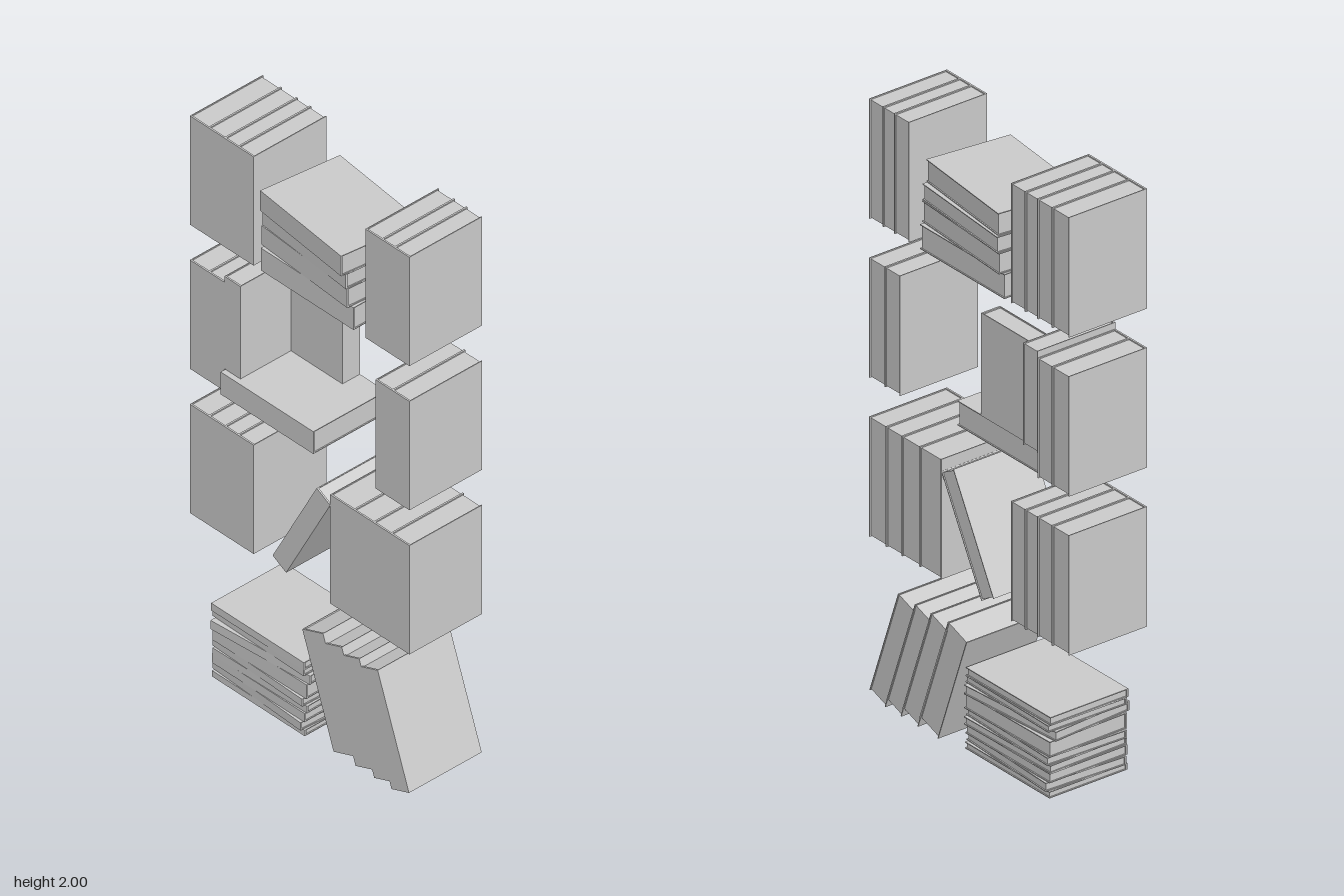
import * as THREE from 'three';

const coverMat = new THREE.MeshStandardMaterial({ color: 0xcccccc, flatShading: true });
const BOARD = 0.003, SPINE = 0.006, INSET = 0.004;

// One book: x = thickness, y = height, z = depth, spine towards +z, centred.
function makeBook(name, t, h = 0.4, d = 0.292) {
  const book = new THREE.Group();
  book.name = name;
  const a = t / 2, b = d / 2;
  // U-shaped cover: two boards joined by the spine (shape y becomes -z)
  const u = new THREE.Shape([
    [-a, b], [-a, -b], [a, -b], [a, b],
    [a - BOARD, b], [a - BOARD, -b + SPINE], [-a + BOARD, -b + SPINE], [-a + BOARD, b],
  ].map(([x, y]) => new THREE.Vector2(x, y)));
  const geo = new THREE.ExtrudeGeometry(u, { depth: h, bevelEnabled: false });
  geo.rotateX(-Math.PI / 2).translate(0, -h / 2, 0);
  const cover = new THREE.Mesh(geo, coverMat);
  cover.name = 'cover';
  // Page block, set back from the cover edges
  const pages = new THREE.Mesh(
    new THREE.BoxGeometry(t - 2 * BOARD, h - 2 * INSET, d - SPINE - INSET), coverMat);
  pages.position.z = (INSET - SPINE) / 2;
  pages.name = 'pages';
  book.add(cover, pages);
  return book;
}

export function createModel() {
  const model = new THREE.Group();
  model.name = 'books';
  const Z = -0.009;

  // Row of upright books between successive x edges
  function row(name, y, edges, h = 0.4) {
    for (let i = 0; i + 1 < edges.length; i++) {
      const book = makeBook(name, edges[i + 1] - edges[i], h);
      book.position.set((edges[i] + edges[i + 1]) / 2, y + h / 2, Z);
      model.add(book);
    }
  }

  // Book lying flat, turned about the vertical
  function flat(name, y0, y1, x, z, turn) {
    const book = makeBook(name, y1 - y0);
    book.rotation.set(0, turn, Math.PI / 2);
    book.position.set(x, (y0 + y1) / 2, z);
    model.add(book);
  }

  // Book leaning sideways, placed by its centre
  function lean(name, t, x, y, tilt) {
    const book = makeBook(name, t);
    book.rotation.z = tilt;
    book.position.set(x, y, Z);
    model.add(book);
  }

  // Top level
  const leftEdges = [-0.475, -0.395, -0.326, -0.268, -0.2];
  row('topLeftBook', 1.6, leftEdges);
  row('topRightBook', 1.6, [0.282, 0.352, 0.406, 0.472]);
  flat('topStackBook', 1.6, 1.682, 0.031, -0.009, 0);
  flat('topStackBook', 1.682, 1.752, 0.03, -0.008, -0.07);
  flat('topStackBook', 1.752, 1.806, 0.031, -0.008, -0.09);
  flat('topStackBook', 1.806, 1.88, 0.032, 0.004, -0.113);

  // Third level: two uprights, a flat book carrying two shorter ones
  row('thirdLeftBook', 1.07, leftEdges.slice(0, 3));
  row('thirdRightBook', 1.07, [0.325, 0.397, 0.472]);
  flat('thirdFlatBook', 1.07, 1.152, -0.122, 0.01, 0);
  row('thirdShortBook', 1.152, [-0.326, -0.257], 0.34);
  const display = makeBook('thirdFacingBook', 0.07, 0.34, 0.222);
  display.rotation.y = Math.PI / 2;
  display.position.set(-0.146, 1.322, -0.101);
  model.add(display);

  // Second level
  row('secondLeftBook', 0.54, leftEdges);
  row('secondRightBook', 0.54, [0.13, 0.232, 0.316, 0.391, 0.472]);
  lean('secondLeaningBook', 0.066, 0.006, 0.74, -0.495);

  // Bottom level: messy flat pile, [bottom, top, x, z, turn]
  [
    [0.01, 0.032, -0.161, 0.008, 0.0],
    [0.032, 0.061, -0.161, 0.009, -0.05],
    [0.061, 0.093, -0.162, 0.008, 0.0],
    [0.093, 0.119, -0.16, 0.006, 0.02],
    [0.119, 0.146, -0.162, 0.008, -0.03],
    [0.146, 0.198, -0.16, 0.006, 0.012],
    [0.198, 0.23, -0.161, 0.01, 0.07],
    [0.23, 0.253, -0.162, 0.007, -0.015],
    [0.253, 0.28, -0.163, 0.01, 0.0],
  ].forEach((p) => flat('pileBook', ...p));

  // Bottom level: four books leaning left, each resting on its lower left edge
  const tilt = 0.345, c = Math.cos(tilt), s = Math.sin(tilt);
  [[0.145, 0.095], [0.24, 0.08], [0.32, 0.075], [0.395, 0.08]].forEach(([x, t]) =>
    lean('bottomLeaningBook', t, x + (t / 2) * c - 0.2 * s, (t / 2) * s + 0.2 * c + 0.003, tilt));

  return model;
}
